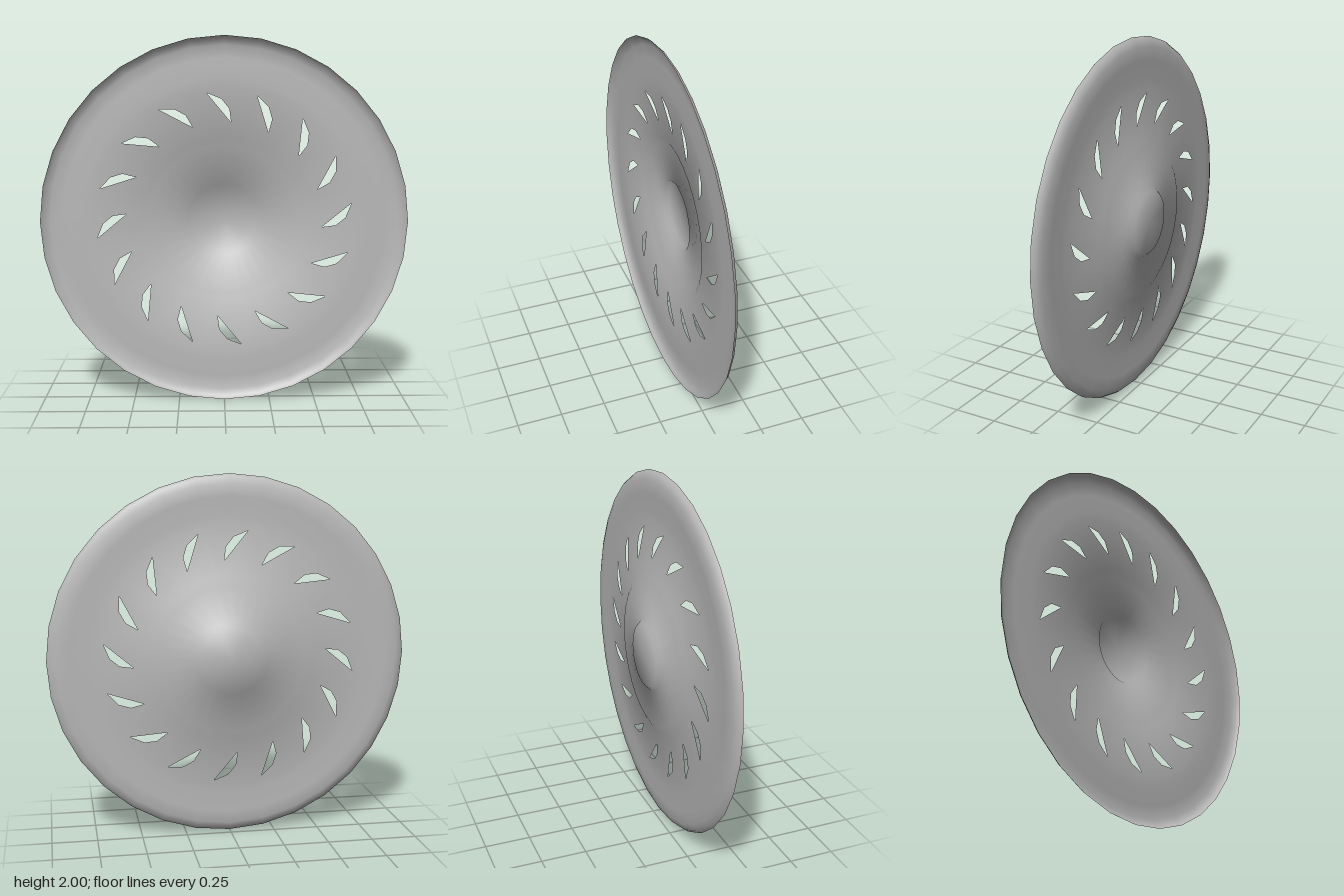
import * as THREE from 'three';
import { mergeGeometries } from 'three/addons/utils/BufferGeometryUtils.js';

// Dish cross-section: radius, depth along z
const profile = [
  [0, -0.055], [0.175, -0.055], [0.2, -0.03], [0.41, -0.019], [0.45, 0],
  [0.72, 0.018], [0.78, 0.024], [0.88, 0.017], [0.95, 0.021], [0.985, 0.034], [1, 0.053],
];
const SLOT_BAND = 4; // profile span that carries the slots
const SLOTS = 16;

// Slope angle at each profile point, averaged for smooth shading
const spanAngle = (i) => Math.atan2(profile[i + 1][1] - profile[i][1], profile[i + 1][0] - profile[i][0]);
const tilt = profile.map((_, i) => {
  if (i === 0) return 0;
  if (i === profile.length - 1) return spanAngle(i - 1);
  return (spanAngle(i - 1) + spanAngle(i)) / 2;
});

// Depth and tilt at any radius
function sample(r) {
  let i = 0;
  while (i < profile.length - 2 && r > profile[i + 1][0]) i++;
  const t = Math.min(1, (r - profile[i][0]) / (profile[i + 1][0] - profile[i][0]));
  return [
    THREE.MathUtils.lerp(profile[i][1], profile[i + 1][1], t),
    THREE.MathUtils.lerp(tilt[i], tilt[i + 1], t),
  ];
}

// Press a flat sheet into the dish form
function press(geometry) {
  const p = geometry.attributes.position, n = geometry.attributes.normal;
  for (let i = 0; i < p.count; i++) {
    const x = p.getX(i), y = p.getY(i), r = Math.hypot(x, y);
    const [z, a] = sample(r);
    const s = r > 1e-6 ? -Math.sin(a) / r : 0;
    p.setZ(i, z);
    n.setXYZ(i, x * s, y * s, Math.cos(a));
  }
  return geometry;
}

// One wedge of the slotted band, centred on +y
function slottedWedge(r0, r1) {
  const step = Math.PI / SLOTS;
  const at = (r, k) => new THREE.Vector2(r * Math.sin(k * step), r * Math.cos(k * step));
  const shape = new THREE.Shape([at(r0, -1), at(r0, 0), at(r0, 1), at(r1, 1), at(r1, 0), at(r1, -1)]);
  shape.holes.push(new THREE.Path([
    new THREE.Vector2(-0.096, 0.695), new THREE.Vector2(-0.016, 0.663),
    new THREE.Vector2(0.027, 0.61), new THREE.Vector2(0.037, 0.535),
  ]));
  return new THREE.ShapeGeometry(shape);
}

export function createModel() {
  const group = new THREE.Group();
  const metal = new THREE.MeshStandardMaterial({ color: 0xb8b8b8, side: THREE.DoubleSide });
  metal.name = 'grey metal';

  const add = (name, parts) => {
    const mesh = new THREE.Mesh(press(mergeGeometries(parts)), metal);
    mesh.name = name;
    mesh.position.y = 1;
    group.add(mesh);
  };
  const rings = (from, to) => {
    const parts = [];
    for (let i = from; i < to; i++) parts.push(new THREE.RingGeometry(profile[i][0], profile[i + 1][0], SLOTS * 2, 1));
    return parts;
  };

  // Stepped hub, slotted band and rolled rim
  add('hub', rings(0, SLOT_BAND));
  const wedges = [];
  for (let k = 0; k < SLOTS; k++) {
    wedges.push(slottedWedge(profile[SLOT_BAND][0], profile[SLOT_BAND + 1][0]).rotateZ((k * 2 * Math.PI) / SLOTS));
  }
  add('slottedBand', wedges);
  add('rim', rings(SLOT_BAND + 1, profile.length - 1));
  return group;
}
